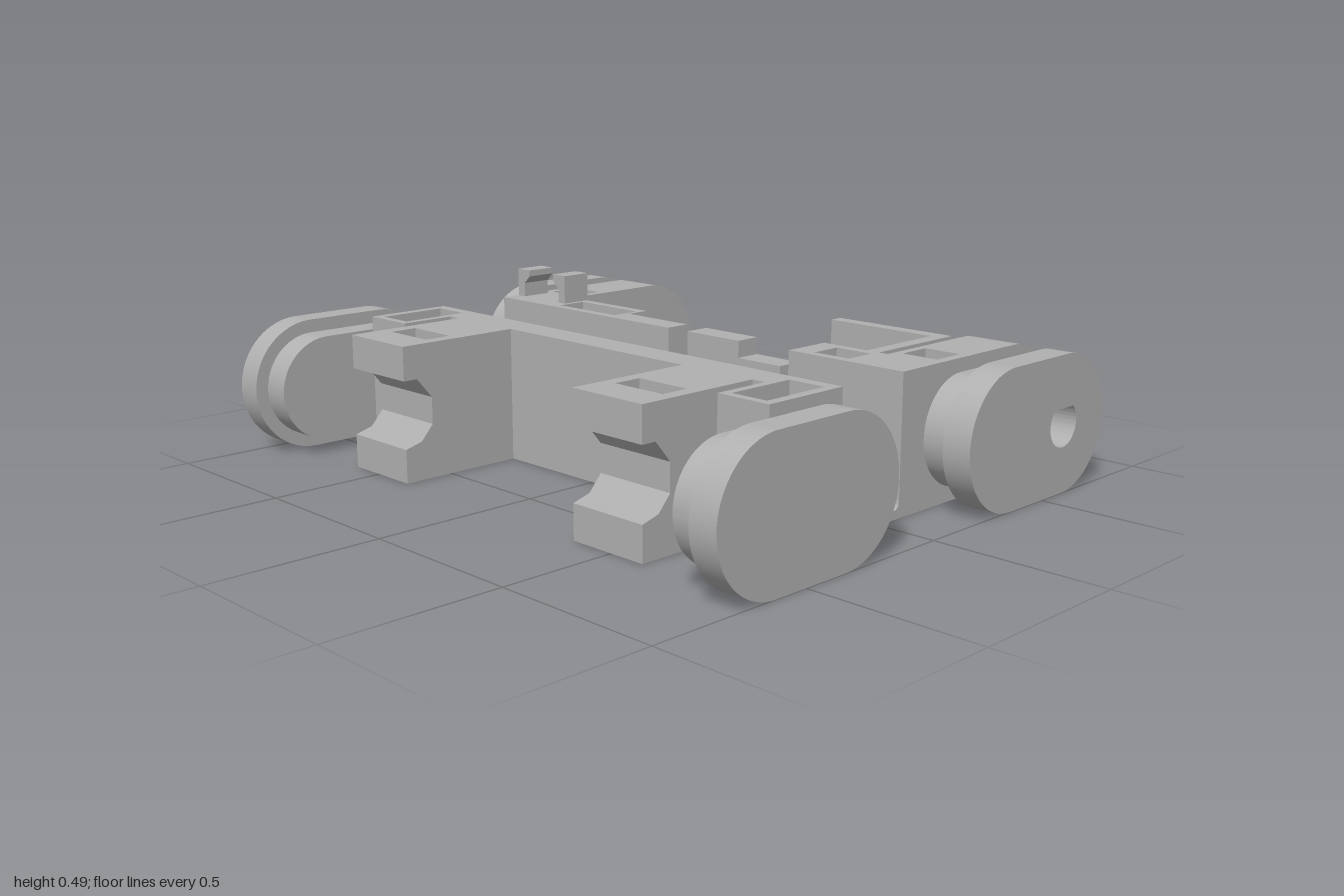
import * as THREE from 'three';
import { toCreasedNormals } from 'three/addons/utils/BufferGeometryUtils.js';

const grey = new THREE.MeshStandardMaterial({ color: 0xb0b0b0 });
grey.name = 'plain grey';

export function createModel() {
  const model = new THREE.Group();
  model.name = 'chassis';

  const add = (name, geometry) => {
    const mesh = new THREE.Mesh(geometry, grey);
    mesh.name = name;
    model.add(mesh);
    return mesh;
  };
  const box = (name, x0, x1, y0, y1, z0, z1) =>
    add(name, new THREE.BoxGeometry(x1 - x0, y1 - y0, z1 - z0)
      .translate((x0 + x1) / 2, (y0 + y1) / 2, (z0 + z1) / 2));
  const polygon = (pts) => new THREE.Shape(pts.map(([x, y]) => new THREE.Vector2(x, y)));

  // Extrude an x-y outline between two z values
  const alongZ = (name, shape, z0, z1) => {
    const g = new THREE.ExtrudeGeometry(shape, { depth: z1 - z0, bevelEnabled: false, curveSegments: 28 });
    return add(name, toCreasedNormals(g.translate(0, 0, z0), 0.5));
  };
  // Extrude an x-z outline between two y values, with rectangular holes [x0, x1, z0, z1]
  const alongY = (name, pts, y0, y1, holes = []) => {
    const shape = polygon(pts.map(([x, z]) => [x, -z]));
    for (const [a, b, c, d] of holes) shape.holes.push(polygon([[a, -c], [a, -d], [b, -d], [b, -c]]));
    const g = new THREE.ExtrudeGeometry(shape, { depth: y1 - y0, bevelEnabled: false });
    return add(name, g.rotateX(-Math.PI / 2).translate(0, y0, 0));
  };
  const rect = (x0, x1, z0, z1) => [[x0, z0], [x1, z0], [x1, z1], [x0, z1]];
  // Solid base with a pocketed top
  const pocketed = (name, pts, floor, holes) => {
    alongY(name + 'Base', pts, 0, floor);
    alongY(name + 'Top', pts, floor, 0.4, holes);
  };

  // Teardrop axle hole
  const axleX = 0.595, axleY = 0.2;
  const teardrop = (r) => {
    const p = new THREE.Path();
    p.moveTo(axleX, axleY + r * Math.SQRT2);
    p.absarc(axleX, axleY, r, Math.PI * 0.75, Math.PI * 2.25, false);
    p.closePath();
    return p;
  };
  const obround = (x0, x1, y0, y1, holed) => {
    const r = (y1 - y0) / 2, cy = (y0 + y1) / 2;
    const s = new THREE.Shape();
    s.moveTo(x0 + r, y0);
    s.lineTo(x1 - r, y0);
    s.absarc(x1 - r, cy, r, -Math.PI / 2, Math.PI / 2, false);
    s.lineTo(x0 + r, y1);
    s.absarc(x0 + r, cy, r, Math.PI / 2, Math.PI * 1.5, false);
    if (holed) s.holes.push(teardrop(0.066));
    return s;
  };
  // Order a mirrored z range
  const span = (s, a, b) => (s > 0 ? [a, b] : [-b, -a]);

  // Channel floor with filleted corners
  const channel = new THREE.Shape();
  channel.moveTo(-0.165, 0);
  channel.lineTo(0.085, 0);
  channel.lineTo(0.085, 0.05);
  channel.quadraticCurveTo(0.085, 0.025, 0.06, 0.025);
  channel.lineTo(-0.14, 0.025);
  channel.quadraticCurveTo(-0.165, 0.025, -0.165, 0.05);
  alongZ('channelFloor', channel, -0.825, 0.825);

  // Right-hand beam with an end block at each end
  pocketed('solidBeam', [
    [-0.165, -0.825], [-0.44, -0.825], [-0.44, -0.655], [-0.265, -0.655],
    [-0.265, 0.655], [-0.44, 0.655], [-0.44, 0.825], [-0.165, 0.825],
  ], 0.2, [[-0.415, -0.2, 0.68, 0.795], [-0.415, -0.2, -0.795, -0.68]]);

  for (const s of [1, -1]) {
    // Rounded track ends: wide outer flange, narrower hub
    const flange = span(s, 0.915, 1), hub = span(s, 0.825, 0.915);
    alongZ('rightFlange', obround(-0.805, -0.155, 0, 0.4, false), ...flange);
    alongZ('rightHub', obround(-0.765, -0.195, 0.04, 0.36, false), ...hub);
    alongZ('leftFlange', obround(0.145, 0.8, 0, 0.4, true), ...flange);
    alongZ('leftHub', obround(0.185, 0.76, 0.04, 0.36, true), ...hub);

    // Axle arm with a rounded end
    const arm = new THREE.Shape();
    arm.moveTo(0.42, 0);
    arm.lineTo(0.6, 0);
    arm.absarc(0.6, 0.2, 0.2, -Math.PI / 2, Math.PI / 2, false);
    arm.lineTo(0.42, 0.4);
    arm.holes.push(teardrop(0.066));
    const armZ = span(s, 0.655, 0.825);
    alongZ('axleArm', arm, ...armZ);
    pocketed('armRoot', rect(0.24, 0.42, ...armZ), 0.2, [[0.275, 0.38, ...span(s, 0.68, 0.795)]]);

    // Side tabs: notched foot below a pocketed lip
    const tabZ = span(s, 0.36, 0.612);
    alongZ('tabFoot', polygon([
      [-0.265, 0], [-0.655, 0], [-0.655, 0.1], [-0.6, 0.115], [-0.56, 0.16],
      [-0.56, 0.24], [-0.61, 0.3], [-0.265, 0.3],
    ]), ...tabZ);
    alongY('tabLip', rect(-0.655, -0.265, ...tabZ), 0.3, 0.4, [[-0.545, -0.46, ...span(s, 0.4, 0.57)]]);
  }

  // Left-hand beam, broken in the middle by the tray
  pocketed('frontBeam', rect(0.085, 0.24, 0.43, 0.825), 0.2, [[0.115, 0.21, 0.5, 0.62]]);
  pocketed('rearBeam', rect(0.085, 0.24, -0.825, -0.3), 0.2, [[0.115, 0.21, -0.57, -0.315]]);
  box('beamFloor', 0.085, 0.165, 0, 0.045, -0.3, 0.43);
  box('rearPanel', 0.085, 0.165, 0.045, 0.4, -0.3, -0.045);
  box('middlePanel', 0.085, 0.165, 0.045, 0.4, 0.035, 0.24);
  box('lowPost', 0.085, 0.165, 0.045, 0.35, 0.24, 0.4);

  // Tray with a square hole, side wall and drilled front wall
  alongY('trayFloor', rect(0.165, 0.8, -0.3, 0.43), 0, 0.04, [[0.33, 0.4, -0.27, -0.21]]);
  box('traySideWall', 0.755, 0.8, 0.04, 0.35, 0.035, 0.43);
  const wall = polygon([[0.165, 0], [0.8, 0], [0.8, 0.35], [0.165, 0.35]]);
  wall.holes.push(teardrop(0.022));
  alongZ('trayFrontWall', wall, 0.43, 0.475);
  const boss = new THREE.Shape();
  boss.moveTo(axleX - 0.11, 0);
  boss.lineTo(axleX + 0.11, 0);
  boss.lineTo(axleX + 0.11, axleY);
  boss.absarc(axleX, axleY, 0.11, 0, Math.PI, false);
  boss.holes.push(teardrop(0.022));
  alongZ('motorBoss', boss, 0.475, 0.525);

  // Pair of facing snap hooks on the rear beam
  for (const s of [1, -1]) {
    const hook = polygon([
      [0.058, 0], [0.09, 0], [0.09, 0.015], [0.09, 0.09], [0.058, 0.09], [0.058, 0.09],
    ].slice(0, 4).concat([[0.058 - 0.026, 0.09], [0.058 - 0.026, 0.07], [0.058, 0.045]]));
    const g = new THREE.ExtrudeGeometry(hook, { depth: 0.1, bevelEnabled: false });
    // Turn the profile to run along x, hooks facing each other
    g.rotateY(s * Math.PI / 2).translate(s > 0 ? 0.145 : 0.245, 0.4, s > 0 ? -0.73 : -0.675);
    add('snapHook', g);
  }
  return model;
}
